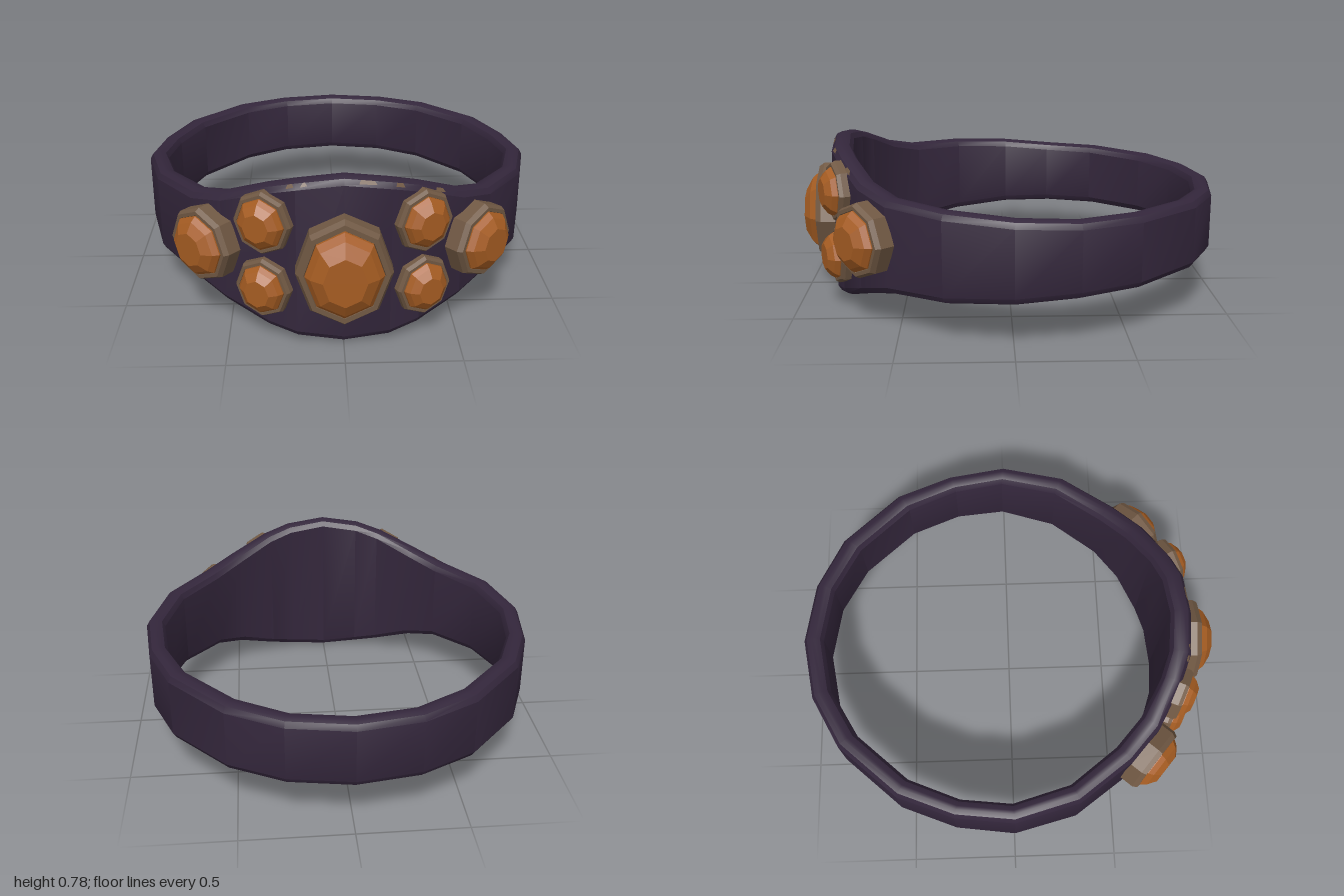
import * as THREE from 'three';
import { toCreasedNormals } from 'three/addons/utils/BufferGeometryUtils.js';

const bandMat = new THREE.MeshStandardMaterial({ color: 0x33263b });
bandMat.name = 'dark purple';
const metalMat = new THREE.MeshStandardMaterial({ color: 0x705843 });
metalMat.name = 'dull bronze';
const gemMat = new THREE.MeshStandardMaterial({ color: 0xa55c22 });
gemMat.name = 'amber';

// Half of the band, front to back: outer x, z, inner x, z, top, bottom
const half = [
  [0, 0.85, 0, 0.755, 0.79, 0.01],
  [0.2, 0.835, 0.18, 0.737, 0.765, 0.03],
  [0.33, 0.785, 0.295, 0.695, 0.73, 0.06],
  [0.52, 0.68, 0.46, 0.6, 0.655, 0.13],
  [0.66, 0.55, 0.59, 0.48, 0.612, 0.178],
  [0.84, 0.3, 0.755, 0.26, 0.6, 0.195],
  [0.92, 0, 0.83, -0.01, 0.583, 0.215],
  [0.885, -0.28, 0.8, -0.25, 0.567, 0.228],
  [0.78, -0.545, 0.7, -0.49, 0.568, 0.235],
  [0.535, -0.82, 0.48, -0.735, 0.565, 0.24],
  [0.29, -0.95, 0.26, -0.86, 0.56, 0.243],
  [0, -1, 0, -0.905, 0.56, 0.245],
];
const mirrored = half.slice(1, -1).reverse().map(([a, b, c, d, e, f]) => [-a, b, -c, d, e, f]);
const stations = [...half, ...mirrored];

// Cross-section: share of the thickness, inset from the edge, top (1) or bottom (0)
const section = [
  [1, 0.035, 0], [1, 0.035, 1], [0.84, 0.01, 1], [0.6, 0, 1], [0.4, 0, 1], [0.16, 0.01, 1],
  [0, 0.035, 1], [0, 0.035, 0], [0.16, 0.01, 0], [0.4, 0, 0], [0.6, 0, 0], [0.84, 0.01, 0],
];

function bandPoint(i, j) {
  const n = stations.length;
  const [ox, oz, ix, iz, top, bottom] = stations[(i + n) % n];
  const [u, inset, up] = section[j % section.length];
  return new THREE.Vector3(ix + (ox - ix) * u, up ? top - inset : bottom + inset, iz + (oz - iz) * u);
}

function makeBand() {
  const pos = [], idx = [], m = section.length, n = stations.length;
  for (let i = 0; i < n; i++) {
    for (let j = 0; j < m; j++) {
      pos.push(...bandPoint(i, j).toArray());
      const a = i * m + j, b = ((i + 1) % n) * m + j;
      const c = ((i + 1) % n) * m + (j + 1) % m, d = i * m + (j + 1) % m;
      idx.push(a, b, c, a, c, d);
    }
  }
  const g = new THREE.BufferGeometry();
  g.setAttribute('position', new THREE.Float32BufferAttribute(pos, 3));
  g.setIndex(idx);
  const band = new THREE.Mesh(toCreasedNormals(g, 0.55), bandMat);
  band.name = 'band';
  return band;
}

// Worn patch lying just above the upper front bevel of the band
function makeWear(i, from, to) {
  const centre = new THREE.Vector3(0, 0.4, 0);
  const at = (t, s) => {
    const low = bandPoint(i, 1).lerp(bandPoint(i + 1, 1), t);
    const high = bandPoint(i, 2).lerp(bandPoint(i + 1, 2), t);
    return low.lerp(high, s).sub(centre).multiplyScalar(1.004).add(centre);
  };
  const g = new THREE.BufferGeometry().setFromPoints(
    [at(from, 0.35), at(to, 0.45), at(to - 0.05, 1), at(from + 0.05, 1)]);
  g.setIndex([0, 1, 2, 0, 2, 3]);
  g.computeVertexNormals();
  const mesh = new THREE.Mesh(g, metalMat);
  mesh.name = 'wornEdge';
  return mesh;
}

// Eight-sided faceted shape turned around the outward z axis
function faceted(profile, material, name) {
  const g = new THREE.LatheGeometry(profile.map(([r, h]) => new THREE.Vector2(r, h)), 8)
    .rotateX(Math.PI / 2).toNonIndexed();
  g.computeVertexNormals();
  const mesh = new THREE.Mesh(g, material);
  mesh.name = name;
  return mesh;
}

// Gem in an octagonal setting: half width, half height, setting depth, gem height
function makeJewel(name, x, y, z, turn, rx, ry, depth, rise) {
  const jewel = new THREE.Group();
  jewel.name = name;
  jewel.add(
    faceted([[0, 0], [1, 0], [1, depth * 0.75], [0.93, depth], [0.83, depth], [0.8, depth - 0.015]],
      metalMat, 'setting'),
    faceted([[0.81, depth - 0.02], [0.81, depth + 0.003], [0.7, depth + rise * 0.5],
      [0.45, depth + rise], [0, depth + rise]], gemMat, 'gem'));
  jewel.scale.set(rx, ry, 1);
  jewel.position.set(x, y, z);
  jewel.rotation.y = turn;
  return jewel;
}

export function createModel() {
  const model = new THREE.Group();
  model.name = 'jewelledBand';
  model.add(makeBand());

  // Large centre jewel
  model.add(makeJewel('centreJewel', 0, 0.387, 0.83, 0, 0.205, 0.247, 0.1, 0.07));

  // Three smaller jewels on each side
  for (const s of [1, -1]) {
    model.add(
      makeJewel('upperJewel', s * 0.318, 0.572, 0.755, s * 0.42, 0.132, 0.142, 0.07, 0.05),
      makeJewel('lowerJewel', s * 0.322, 0.268, 0.755, s * 0.42, 0.128, 0.138, 0.07, 0.05),
      makeJewel('sideJewel', s * 0.567, 0.415, 0.622, s * 0.72, 0.172, 0.172, 0.09, 0.055));
  }

  // Worn spots along the upper front edge
  for (const [i, from, to] of [[0, 0.3, 0.68], [1, 0.1, 0.4], [2, 0.3, 0.55], [-1, 0.1, 0.25], [-2, 0.7, 0.95]]) {
    model.add(makeWear(i, from, to));
  }
  return model;
}
